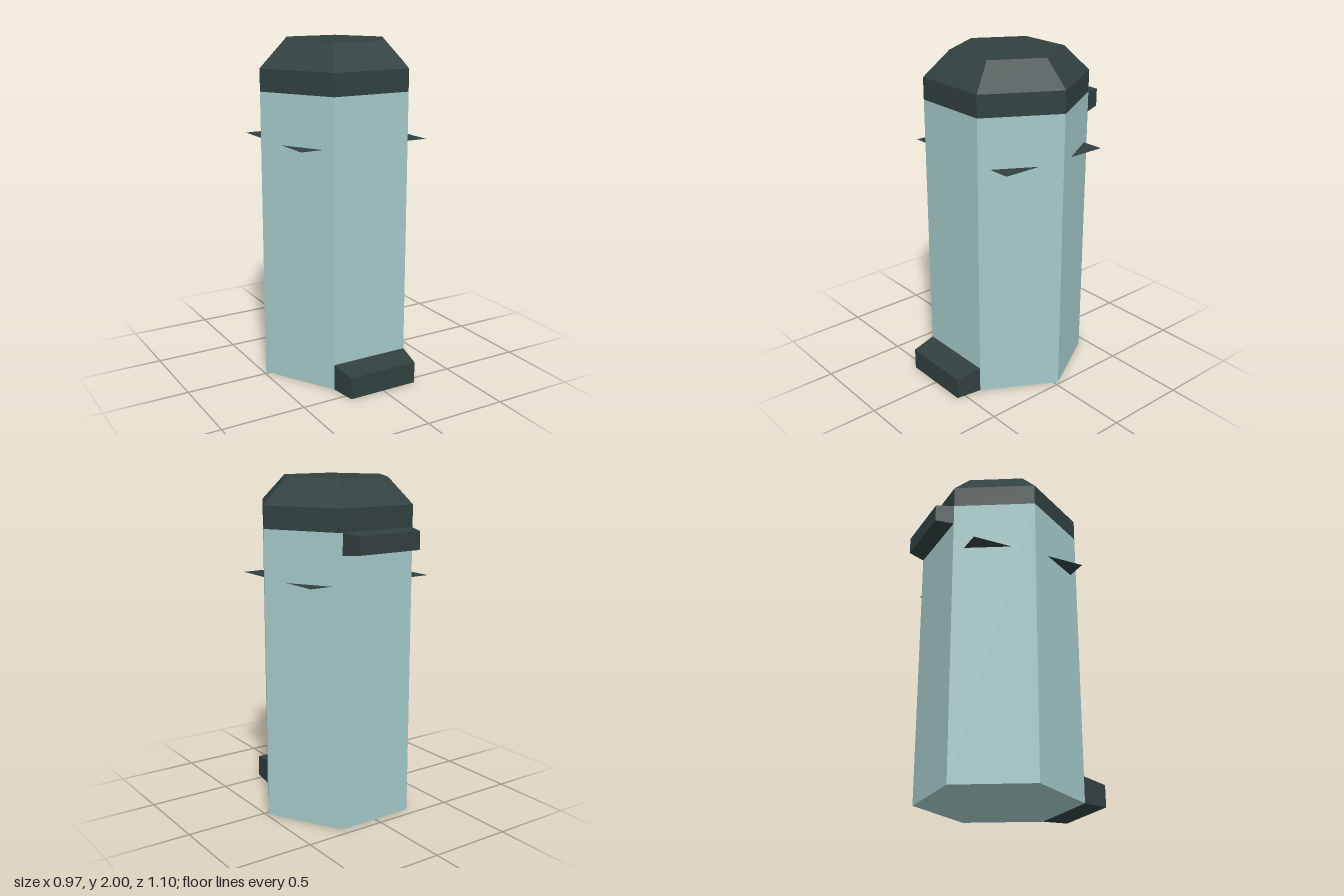
import * as THREE from 'three';

const CZ = -0.025; // z of the column axis
const R = 0.485; // hexagon radius, corners on the x axis

export function createModel() {
  const group = new THREE.Group();
  const paleTeal = new THREE.MeshStandardMaterial({ name: 'paleTeal', color: 0xa3c9c8, flatShading: true });
  const darkSlate = new THREE.MeshStandardMaterial({ name: 'darkSlate', color: 0x314040, flatShading: true });
  const darkSlateSheet = darkSlate.clone();
  darkSlateSheet.name = 'darkSlateSheet';
  darkSlateSheet.side = THREE.DoubleSide;

  const add = (name, geometry, material) => {
    const mesh = new THREE.Mesh(geometry, material);
    mesh.name = name;
    group.add(mesh);
    return mesh;
  };

  // Six-sided prism or frustum between two heights
  const hexagon = (name, rTop, rBottom, y0, y1, material) => {
    const g = new THREE.CylinderGeometry(rTop, rBottom, y1 - y0, 6);
    g.rotateY(Math.PI / 6);
    add(name, g, material).position.set(0, (y0 + y1) / 2, CZ);
  };

  // Block that tapers from an inner to an outer rectangle, each { z, w, y0, y1 }
  const taperedBlock = (name, inner, outer, material) => {
    const g = new THREE.BoxGeometry(1, 1, 1);
    const p = g.attributes.position;
    const [back, front] = inner.z < outer.z ? [inner, outer] : [outer, inner];
    for (let i = 0; i < p.count; i++) {
      const end = p.getZ(i) > 0 ? front : back;
      p.setXYZ(i, Math.sign(p.getX(i)) * end.w, p.getY(i) > 0 ? end.y1 : end.y0, end.z);
    }
    g.computeVertexNormals();
    add(name, g, material);
  };

  // Column and bevelled cap
  hexagon('body', R, R, 0, 1.72, paleTeal);
  hexagon('capBand', R, R, 1.72, 1.85, darkSlate);
  hexagon('capBevel', 0.332, R, 1.85, 2, darkSlate);

  // Foot at the front, ledge at the back
  taperedBlock('frontFoot',
    { z: 0.395, w: 0.242, y0: 0, y1: 0.155 },
    { z: 0.55, w: 0.218, y0: 0, y1: 0.13 }, darkSlate);
  taperedBlock('backLedge',
    { z: -0.445, w: 0.242, y0: 1.597, y1: 1.722 },
    { z: -0.55, w: 0.21, y0: 1.607, y1: 1.712 }, darkSlate);

  // Flat sheet whose corners poke out of the slanted sides
  const sheet = new THREE.PlaneGeometry(0.83, 0.725);
  sheet.rotateX(-Math.PI / 2);
  add('cornerFins', sheet, darkSlateSheet).position.set(0, 1.425, -0.0275);

  return group;
}
